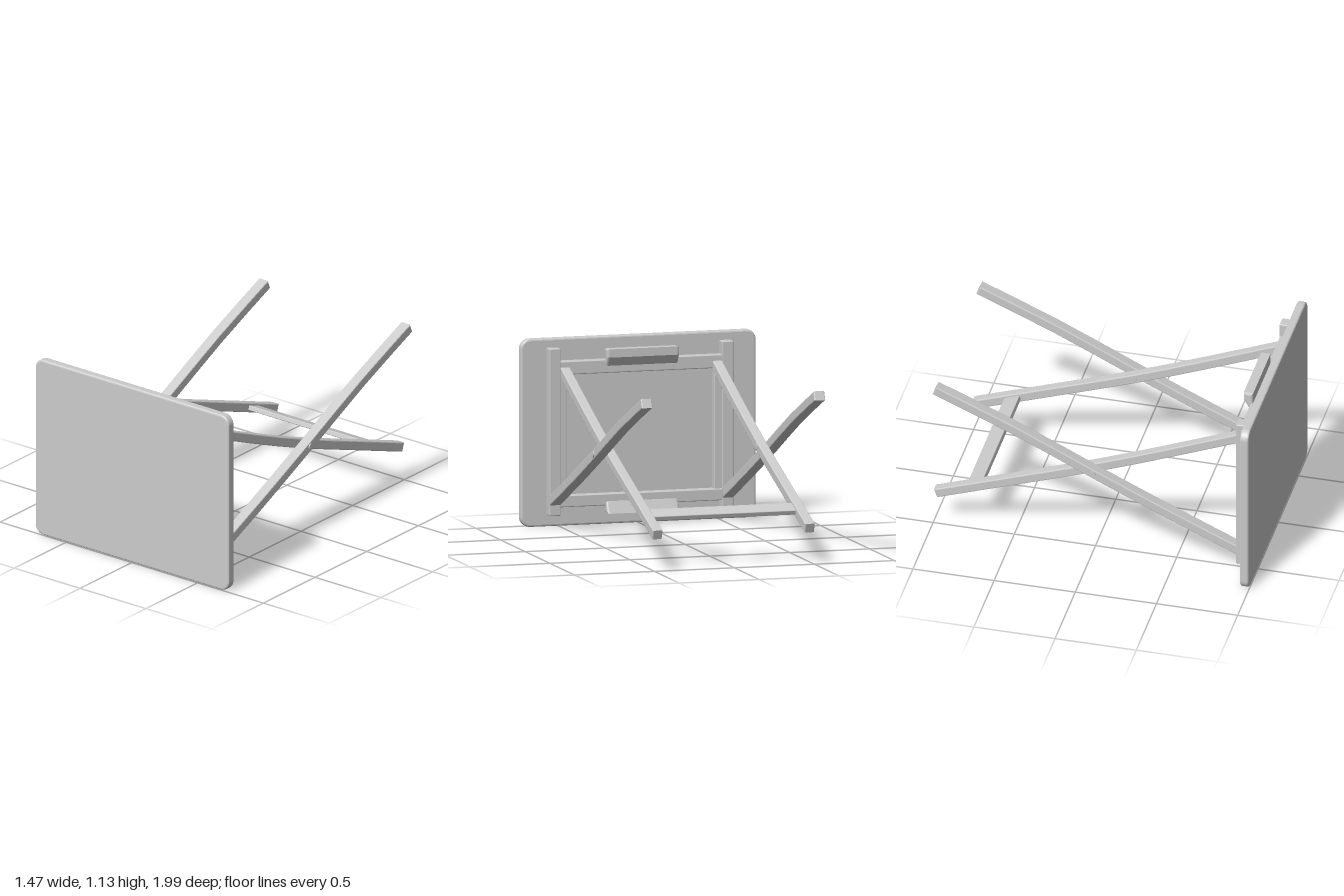
import * as THREE from 'three';
import { RoundedBoxGeometry } from 'three/addons/geometries/RoundedBoxGeometry.js';

const material = new THREE.MeshStandardMaterial({ color: 0xcccccc });

function add(parent, name, geometry, x = 0, y = 0, z = 0) {
  const mesh = new THREE.Mesh(geometry, material);
  mesh.name = name;
  mesh.position.set(x, y, z);
  parent.add(mesh);
  return mesh;
}

// Box given by its limits, with softly rounded edges
function block(parent, name, [x0, x1], [y0, y1], [z0, z1], r = 0.006) {
  const geometry = new RoundedBoxGeometry(x1 - x0, y1 - y0, z1 - z0, 2, r);
  return add(parent, name, geometry, (x0 + x1) / 2, (y0 + y1) / 2, (z0 + z1) / 2);
}

// Extrudes a (z, y) outline along x, centred on x = 0, with small bevels
function sideExtrude(points, width, bevel) {
  const geometry = new THREE.ExtrudeGeometry(new THREE.Shape(points), {
    depth: width - 2 * bevel, bevelThickness: bevel, bevelSize: bevel,
    bevelOffset: -bevel, bevelSegments: 2,
  });
  geometry.translate(0, 0, -(width - 2 * bevel) / 2);
  return geometry.rotateY(-Math.PI / 2);
}

// Gently bent bar following [z, y] centre points
function legGeometry(path, thickness, width) {
  const curve = new THREE.SplineCurve(path.map(([z, y]) => new THREE.Vector2(z, y)));
  const upper = [], lower = [];
  for (let i = 0; i <= 8; i++) {
    const p = curve.getPoint(i / 8), t = curve.getTangent(i / 8);
    const n = new THREE.Vector2(-t.y, t.x).multiplyScalar(thickness / 2);
    upper.push(p.clone().add(n));
    lower.unshift(p.clone().sub(n));
  }
  return sideExtrude([...upper, ...lower], width, 0.006);
}

function tabletopGeometry(w, h, depth, r) {
  const x = w / 2, y = h / 2, s = new THREE.Shape();
  s.moveTo(-x + r, -y);
  s.lineTo(x - r, -y).absarc(x - r, -y + r, r, -Math.PI / 2, 0);
  s.lineTo(x, y - r).absarc(x - r, y - r, r, 0, Math.PI / 2);
  s.lineTo(-x + r, y).absarc(-x + r, y - r, r, Math.PI / 2, Math.PI);
  s.lineTo(-x, -y + r).absarc(-x + r, -y + r, r, Math.PI, Math.PI * 1.5);
  const b = 0.012;
  const geometry = new THREE.ExtrudeGeometry(s, {
    depth: depth - 2 * b, bevelThickness: b, bevelSize: b, bevelOffset: -b,
    bevelSegments: 3, curveSegments: 8,
  });
  return geometry.translate(0, 0, -(depth - 2 * b) / 2);
}

export function createModel() {
  const table = new THREE.Group();
  table.name = 'foldingTable';

  // Upright tabletop
  add(table, 'tabletop', tabletopGeometry(1.47, 1.135, 0.055, 0.06), 0, 0.5675, 0.9725);

  // Frame behind the top: side battens, inner strips and cross rails
  const frame = new THREE.Group();
  frame.name = 'frame';
  table.add(frame);
  for (const s of [-1, 1]) {
    const span = (a, b) => (s > 0 ? [a, b] : [-b, -a]);
    block(frame, 'sideBatten', span(0.505, 0.575), [0.07, 1.08], [0.882, 0.95]);
    block(frame, 'innerStrip', span(0.46, 0.51), [0.14, 0.97], [0.905, 0.95]);
  }
  block(frame, 'upperRail', [-0.51, 0.51], [0.92, 1.0], [0.886, 0.95]);
  block(frame, 'lowerRail', [-0.51, 0.51], [0.12, 0.19], [0.886, 0.95]);

  // Tapered grips on the rails
  const grip = (y0, y1, flip) => {
    const thick = 0.842, thin = 0.872;
    const outline = [[0.9, y0], [0.9, y1], [flip ? thin : thick, y1],
      [thick, flip ? y0 : y1 - 0.05], [flip ? thick : thin, y0]];
    return sideExtrude(outline.map(([z, y]) => new THREE.Vector2(z, y)), 0.45, 0.012);
  };
  add(frame, 'upperGrip', grip(0.965, 1.068, false));
  add(frame, 'lowerGrip', grip(0.075, 0.145, true));

  // Crossed legs: the inner pair falls to the back, the outer pair rises
  const innerPath = [[0.91, 0.943], [0.45, 0.75], [0, 0.57], [-0.5, 0.39], [-0.985, 0.217]];
  const outerPath = [[0.91, 0.155], [0.45, 0.36], [0, 0.57], [-0.5, 0.81], [-0.975, 1.012]];
  for (const s of [-1, 1]) {
    add(table, 'innerLeg', legGeometry(innerPath, 0.058, 0.06), s * 0.476);
    add(table, 'outerLeg', legGeometry(outerPath, 0.058, 0.068), s * 0.54);
    const pin = new THREE.CylinderGeometry(0.02, 0.02, 0.138, 16).rotateZ(Math.PI / 2);
    add(table, 'pivotPin', pin, s * 0.512, 0.57, 0);
  }

  // Flat stretcher between the inner legs
  const stretcher = add(table, 'stretcher',
    new RoundedBoxGeometry(0.91, 0.03, 0.1, 2, 0.005), 0, 0.302, -0.747);
  stretcher.rotation.x = -Math.atan(0.36);

  return table;
}
